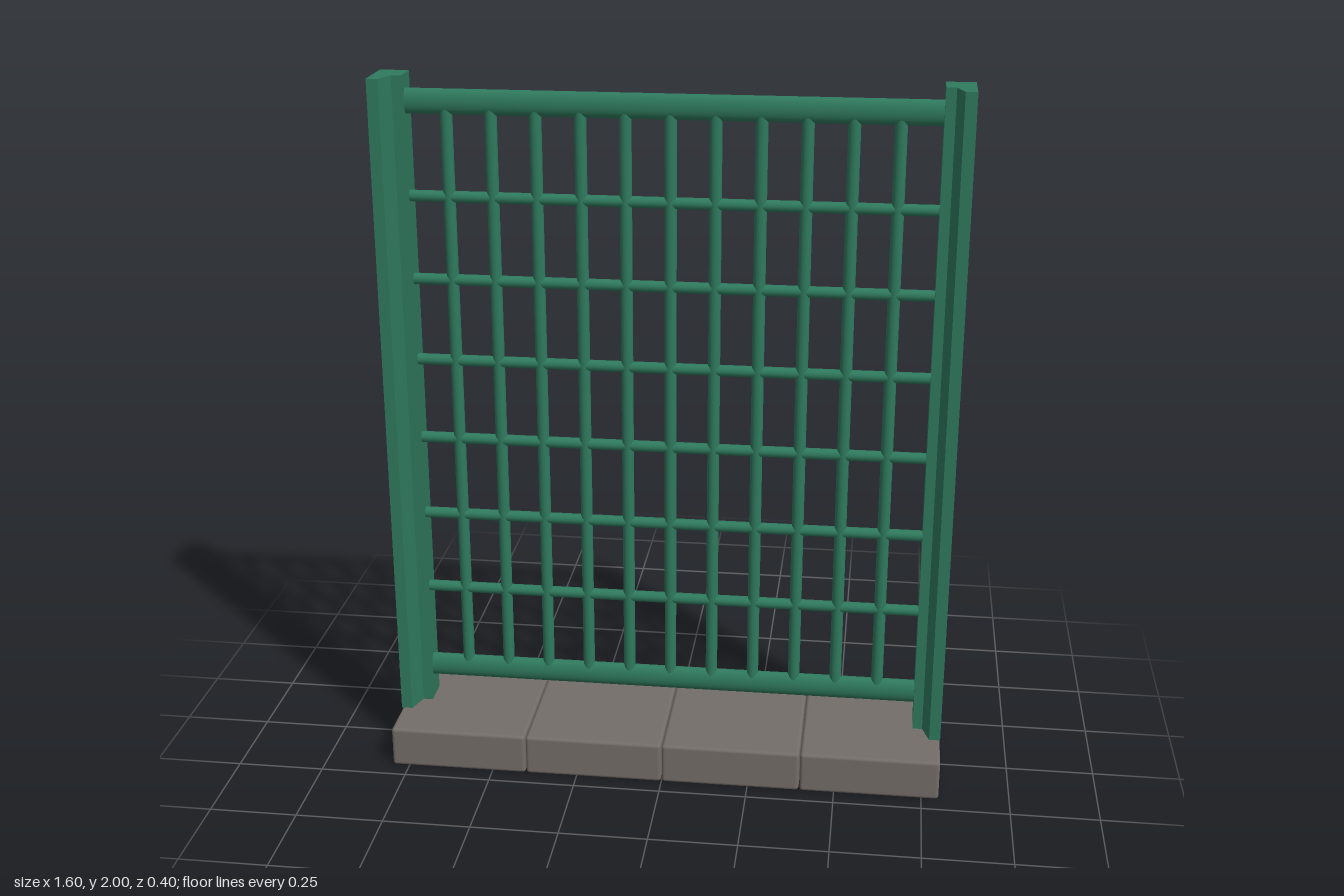
import * as THREE from 'three';
import { RoundedBoxGeometry } from 'three/addons/geometries/RoundedBoxGeometry.js';

const green = new THREE.MeshStandardMaterial({ color: 0x2f7a5e });
green.name = 'green paint';
const stone = new THREE.MeshStandardMaterial({ color: 0x746d69 });
stone.name = 'grey stone';

const BAR_Z = -0.025;

export function createModel() {
  const group = new THREE.Group();
  const add = (name, geometry, material, x, y, z) => {
    const mesh = new THREE.Mesh(geometry, material);
    mesh.name = name;
    mesh.position.set(x, y, z);
    group.add(mesh);
    return mesh;
  };

  // Row of four stone blocks
  const block = new RoundedBoxGeometry(0.398, 0.12, 0.4, 2, 0.01);
  for (let i = 0; i < 4; i++) add('baseBlock', block, stone, -0.6 + 0.4 * i, 0.06, 0);

  // Posts: constant profile with a rebated, sloping inner front corner
  for (const side of [-1, 1]) {
    const profile = [[0.8, -0.075], [0.72, -0.075], [0.72, 0.01], [0.748, 0.01], [0.768, 0.07], [0.8, 0.07]];
    const shape = new THREE.Shape(profile.map(([x, z]) => new THREE.Vector2(side * x, -z)));
    const post = new THREE.ExtrudeGeometry(shape, { depth: 1.88, bevelEnabled: false });
    post.rotateX(-Math.PI / 2);
    add(side > 0 ? 'leftPost' : 'rightPost', post, green, 0, 0.12, 0);
  }

  // Top and bottom rails with an oval section
  const rail = new THREE.CylinderGeometry(0.035, 0.035, 1.45, 24);
  rail.rotateZ(Math.PI / 2);
  rail.scale(1, 1, 0.58);
  add('topRail', rail, green, 0, 1.927, BAR_Z);
  add('bottomRail', rail, green, 0, 0.226, BAR_Z);

  // Horizontal grid bars
  const crossBar = new THREE.CylinderGeometry(0.016, 0.016, 1.45, 16);
  crossBar.rotateZ(Math.PI / 2);
  for (let i = 0; i < 6; i++) add('crossBar', crossBar, green, 0, 0.486 + 0.236 * i, BAR_Z);

  // Vertical grid bars
  const upright = new THREE.CylinderGeometry(0.017, 0.017, 1.7, 16);
  for (let i = -5; i <= 5; i++) add('uprightBar', upright, green, 0.122 * i, 1.0765, BAR_Z);

  return group;
}
